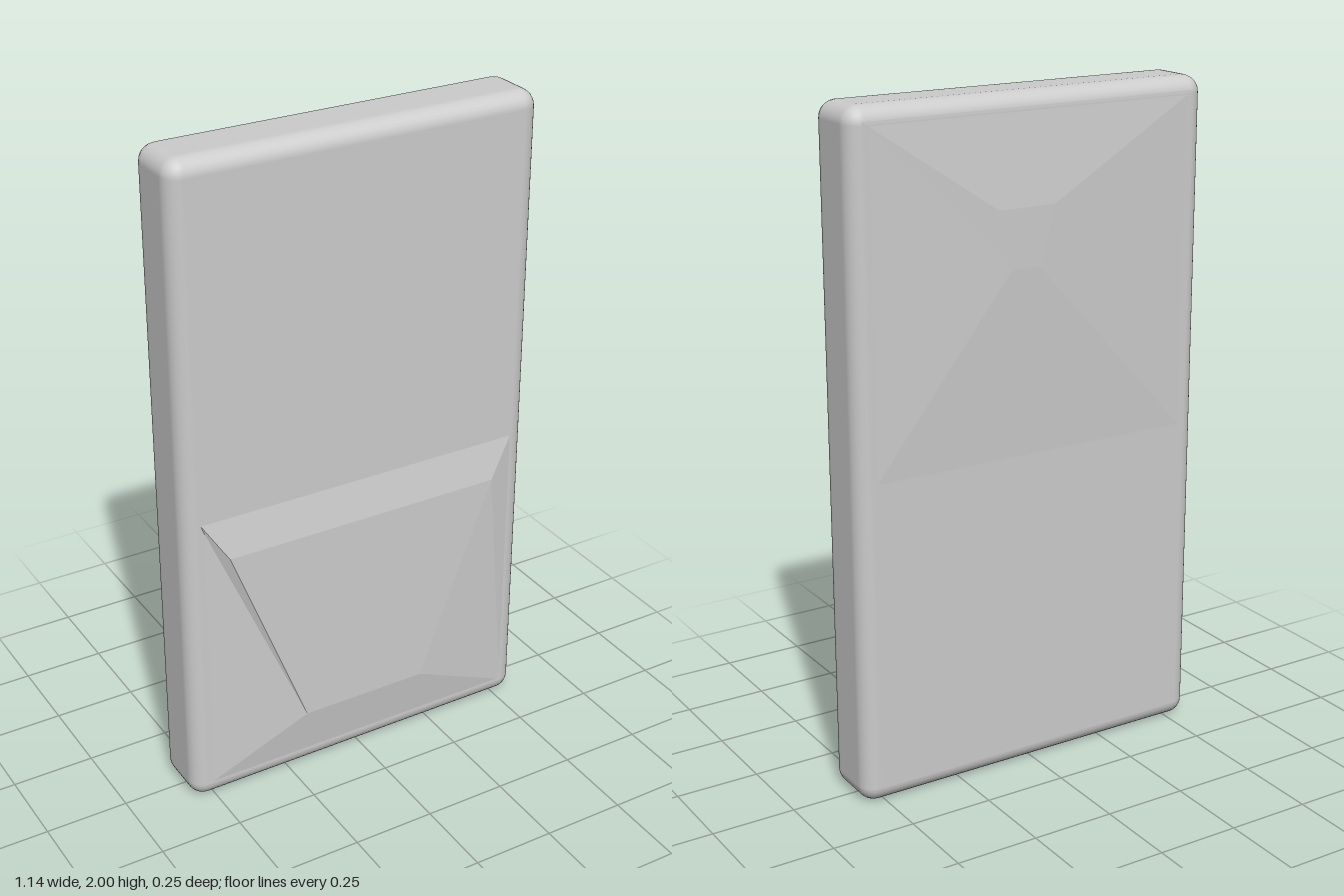
import * as THREE from 'three';
import { RoundedBoxGeometry } from 'three/addons/geometries/RoundedBoxGeometry.js';

// Raised panel: two four-cornered loops (counter-clockwise from the front), joined by sloping sides.
function raisedPanel(outer, outerZ, inner, innerZ) {
  const o = outer.map(([x, y]) => [x, y, outerZ]);
  const n = inner.map(([x, y]) => [x, y, innerZ]);
  const points = [];
  const quad = (a, b, c, d) => points.push(...a, ...b, ...c, ...a, ...c, ...d);
  quad(...n);
  for (let i = 0; i < 4; i++) {
    const j = (i + 1) % 4;
    quad(o[i], o[j], n[j], n[i]);
  }
  const geometry = new THREE.BufferGeometry();
  geometry.setAttribute('position', new THREE.Float32BufferAttribute(points, 3));
  geometry.computeVertexNormals();
  return geometry;
}

export function createModel() {
  const group = new THREE.Group();
  group.name = 'slab';
  const material = new THREE.MeshStandardMaterial({ color: 0xcccccc });
  const add = (name, geometry) => {
    const mesh = new THREE.Mesh(geometry, material);
    mesh.name = name;
    group.add(mesh);
    return mesh;
  };

  // Slab with rounded edges
  add('body', new RoundedBoxGeometry(1.14, 2, 0.206, 3, 0.05)).position.y = 1;

  // Lower front panel, its flat face narrowing downwards
  add('frontPanel', raisedPanel(
    [[-0.52, 0.05], [0.52, 0.05], [0.52, 0.945], [-0.52, 0.945]], 0.102,
    [[-0.2, 0.2], [0.2, 0.2], [0.44, 0.82], [-0.44, 0.82]], 0.125));

  // Upper back bulge with a small off-centre peak, turned to face backwards
  add('backBulge', raisedPanel(
    [[-0.53, 0.945], [0.53, 0.945], [0.53, 1.96], [-0.53, 1.96]], 0.102,
    [[-0.09, 1.52], [0.0, 1.52], [0.05, 1.69], [-0.13, 1.69]], 0.124)).rotation.y = Math.PI;

  return group;
}
